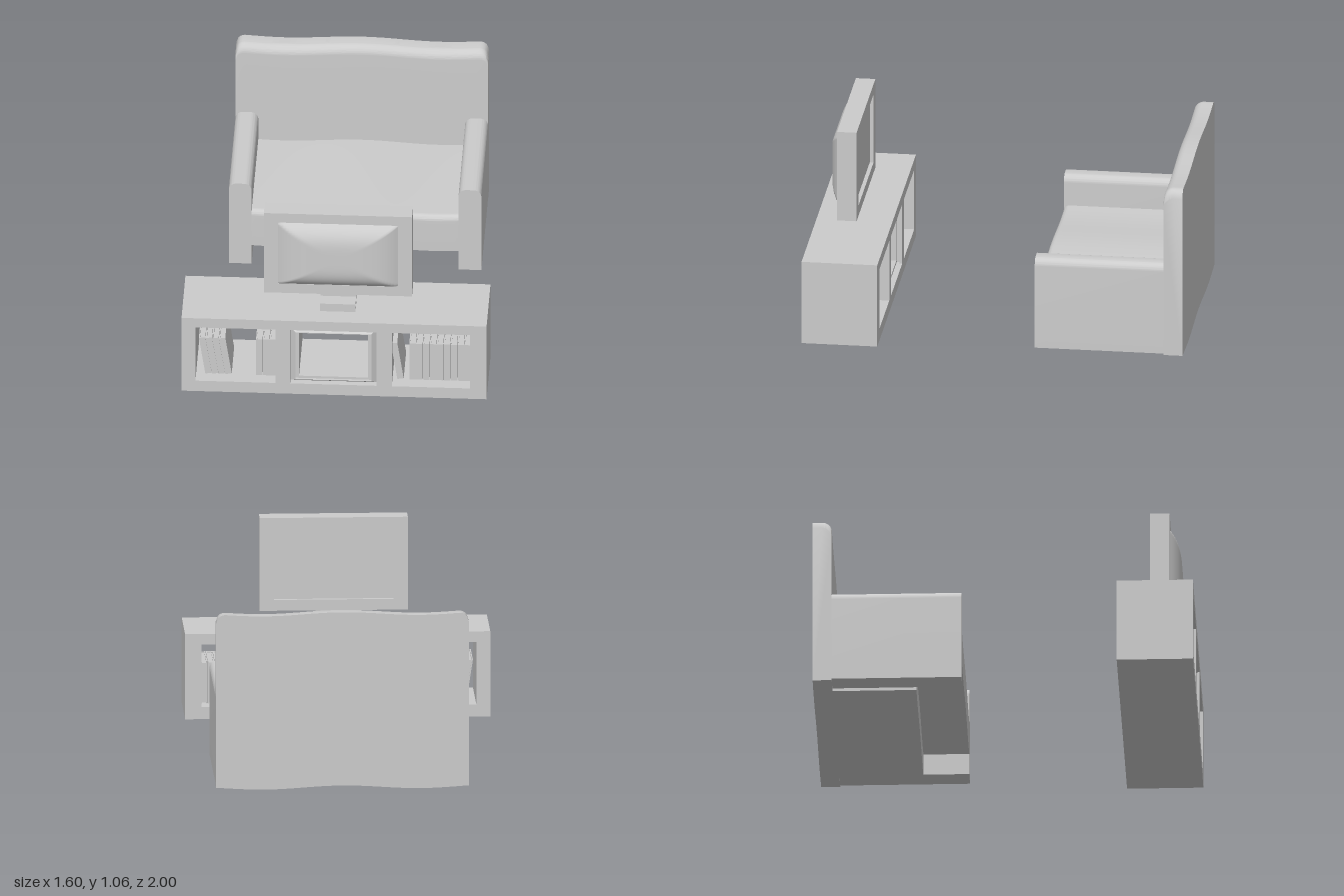
import * as THREE from 'three';
import { toCreasedNormals } from 'three/addons/utils/BufferGeometryUtils.js';

const mat = new THREE.MeshStandardMaterial({ color: 0xcccccc });
const thin = new THREE.MeshStandardMaterial({ color: 0xcccccc, side: THREE.DoubleSide });

function add(parent, name, geometry, material = mat) {
  const mesh = new THREE.Mesh(geometry, material);
  mesh.name = name;
  parent.add(mesh);
  return mesh;
}

function box(x0, x1, y0, y1, z0, z1) {
  return new THREE.BoxGeometry(x1 - x0, y1 - y0, z1 - z0)
    .translate((x0 + x1) / 2, (y0 + y1) / 2, (z0 + z1) / 2);
}

const rect = (Type, x0, x1, y0, y1) => new Type([[x0, y0], [x1, y0], [x1, y1], [x0, y1]]
  .map(([x, y]) => new THREE.Vector2(x, y)));

// Rectangular slab in the xy plane with rectangular openings
function pierced(outer, holes, z0, z1) {
  const shape = rect(THREE.Shape, ...outer);
  holes.forEach((h) => shape.holes.push(rect(THREE.Path, ...h)));
  return new THREE.ExtrudeGeometry(shape, { depth: z1 - z0, bevelEnabled: false }).translate(0, 0, z0);
}

// A (z, y) profile drawn out along x, optionally bent by a rule
function alongX(shape, x0, x1, steps = 1, bend = null) {
  let g = new THREE.ExtrudeGeometry(shape, { depth: x1 - x0, steps, bevelEnabled: false, curveSegments: 8 });
  g.rotateY(-Math.PI / 2).translate(x1, 0, 0);
  if (bend) {
    const p = g.attributes.position;
    for (let i = 0; i < p.count; i++) p.setY(i, bend(p.getX(i), p.getY(i)));
    g = toCreasedNormals(g, 0.6);
  }
  return g;
}

// ---- Sofa ----
const SOFA = { x0: -0.615, x1: 0.71, armW: 0.12, back: -1, backFront: -0.9, front: -0.22 };

// Gentle sag shared by the back and the seat
const sag = (x) => -0.009 * (1 - Math.cos((2 * Math.PI * (x - 0.0475)) / 0.82));

function makeSofa() {
  const sofa = new THREE.Group();
  sofa.name = 'sofa';
  const { x0, x1, armW, back, backFront, front } = SOFA;

  // Backrest with rounded front top edge and rounded upper corners
  const r = 0.05, top = 0.948;
  const backShape = new THREE.Shape();
  backShape.moveTo(back, 0.018);
  backShape.lineTo(backFront, 0.018);
  backShape.lineTo(backFront, top - r);
  backShape.absarc(backFront - r, top - r, r, 0, Math.PI / 2, false);
  backShape.lineTo(back, top);
  add(sofa, 'backrest', alongX(backShape, x0, x1, 120, (x, y) => {
    const e = Math.min(x - x0, x1 - x, r);
    const drop = y > 0.5 ? r - Math.sqrt(Math.max(0, r * r - (r - e) ** 2)) : 0;
    return y + sag(x) - drop;
  }));

  // Seat, overhanging its base at the front
  const s = 0.03, seatTop = 0.366;
  const seatShape = new THREE.Shape();
  seatShape.moveTo(backFront, 0.018);
  seatShape.lineTo(-0.46, 0.018);
  seatShape.lineTo(-0.46, 0.15);
  seatShape.lineTo(front, 0.15);
  seatShape.lineTo(front, seatTop - s);
  seatShape.absarc(front - s, seatTop - s, s, 0, Math.PI / 2, false);
  seatShape.lineTo(backFront, seatTop);
  add(sofa, 'seat', alongX(seatShape, x0 + armW, x1 - armW, 60, (x, y) => y + sag(x)));

  // Armrests with rounded tops
  [['rightArm', x0], ['leftArm', x1 - armW]].forEach(([name, x]) => {
    const a = 0.04, h = 0.52;
    const shape = new THREE.Shape();
    shape.moveTo(x, 0.02);
    shape.lineTo(x + armW, 0.02);
    shape.lineTo(x + armW, h - a);
    shape.absarc(x + armW - a, h - a, a, 0, Math.PI / 2, false);
    shape.lineTo(x + a, h);
    shape.absarc(x + a, h - a, a, Math.PI / 2, Math.PI, false);
    const g = new THREE.ExtrudeGeometry(shape, { depth: front - backFront, bevelEnabled: false, curveSegments: 8 });
    add(sofa, name, toCreasedNormals(g.translate(0, 0, backFront), 0.6));
  });
  return sofa;
}

// ---- Low cabinet with books ----
const FLOOR = 0.085;

function makeBook(x, lean = 0) {
  const book = new THREE.Group();
  book.name = 'book';
  const w = 0.034, h = 0.225, z0 = 0.68, z1 = 0.93, t = 0.006;
  [-1, 1].forEach((side) => {
    const a = side * w / 2, b = side * (w / 2 - t);
    add(book, 'cover', box(Math.min(a, b), Math.max(a, b), 0, h, z0, z1));
  });
  add(book, 'spine', box(-w / 2 + t, w / 2 - t, 0, h, z1 - t, z1));
  add(book, 'pages', box(-w / 2 + t, w / 2 - t, 0.005, h - 0.007, z0 + 0.007, z1 - t));
  book.position.set(x, FLOOR + (lean ? 0.003 : 0), 0);
  book.rotation.z = lean;
  return book;
}

function makeCabinet() {
  const cabinet = new THREE.Group();
  cabinet.name = 'cabinet';
  add(cabinet, 'cabinetBody', pierced([-0.8, 0.8, 0.02, 0.477],
    [[-0.727, -0.307, FLOOR, 0.42], [-0.23, 0.222, FLOOR, 0.42], [0.303, 0.714, FLOOR, 0.42]], 0.6, 1));

  // Moulded lining of the middle opening: a four-sided ring, same front and back
  const half = [[1, 0.165], [0.88, 0.19], [0.88, 0.175], [0.8, 0.175]];
  const ring = [...half, ...half.map(([r, d]) => [r, -d]).reverse(), half[0]]
    .map(([r, d]) => new THREE.Vector2(r * Math.SQRT2, d));
  const lining = new THREE.LatheGeometry(ring, 4, Math.PI / 4).rotateX(Math.PI / 2)
    .scale(0.226, 0.1675, 1).toNonIndexed();
  lining.computeVertexNormals();
  add(cabinet, 'openingFrame', lining.translate(-0.004, 0.2525, 0.8), thin);

  // Books: leaning and upright runs in both side openings
  for (let i = 0; i < 4; i++) cabinet.add(makeBook(-0.662 + i * 0.035, 0.15));
  for (let i = 0; i < 3; i++) cabinet.add(makeBook(-0.396 + i * 0.036));
  cabinet.add(makeBook(0.345, 0.15));
  for (let i = 0; i < 9; i++) cabinet.add(makeBook(0.408 + i * 0.036));
  return cabinet;
}

// ---- Television ----
function makeTelevision() {
  const tv = new THREE.Group();
  tv.name = 'television';
  const opening = [-0.3, 0.328, 0.62, 1.003];
  const [x0, x1, y0, y1] = opening;
  add(tv, 'casing', pierced([-0.375, 0.402, 0.562, 1.06], [opening], 0.76, 0.863));
  add(tv, 'backPanel', box(x0, x1, y0, y1, 0.78, 0.855));

  // Bulging screen, steep at its rim with mitred corners
  const w = x1 - x0, h = y1 - y0;
  const screen = new THREE.PlaneGeometry(w, h, 40, 40);
  const p = screen.attributes.position;
  for (let i = 0; i < p.count; i++) {
    const u = Math.abs(p.getX(i)) / (w / 2), v = Math.abs(p.getY(i)) / (h / 2);
    p.setZ(i, 0.06 * Math.min(1 - u ** 4, 1 - v ** 4));
  }
  screen.computeVertexNormals();
  add(tv, 'screen', screen.translate((x0 + x1) / 2, (y0 + y1) / 2, 0.861), thin);

  // Folded stand
  const fold = new THREE.Shape([[0.802, 0.567], [0.802, 0.508], [0.882, 0.508], [0.882, 0.49], [0.797, 0.49],
    [0.797, 0.477], [0.898, 0.477], [0.898, 0.524], [0.823, 0.524], [0.823, 0.567]]
    .map(([z, y]) => new THREE.Vector2(z, y)));
  add(tv, 'stand', alongX(fold, -0.08, 0.107));
  return tv;
}

export function createModel() {
  const model = new THREE.Group();
  model.name = 'livingRoomSet';
  model.add(makeSofa(), makeCabinet(), makeTelevision());
  return model;
}
